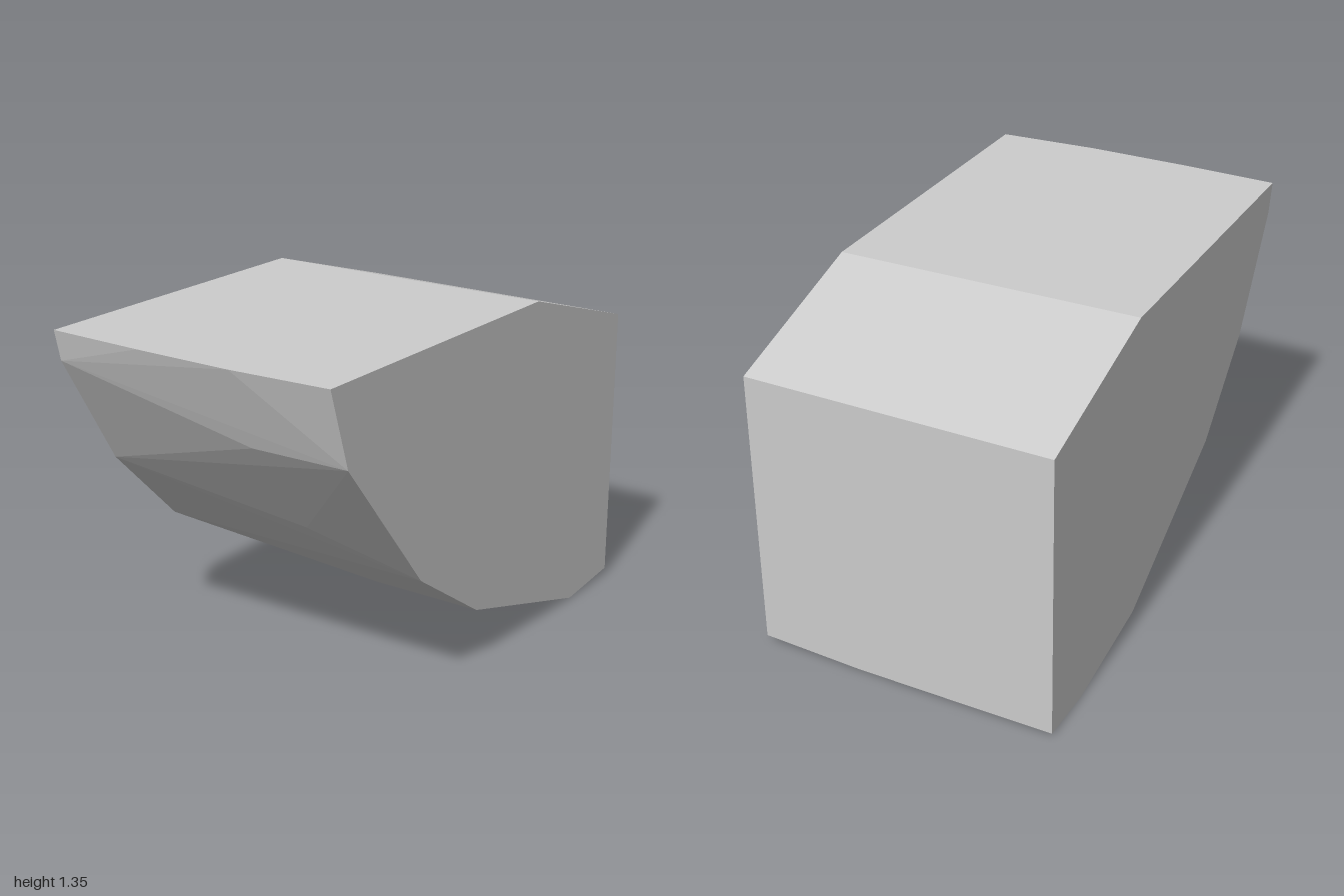
import * as THREE from 'three';
import { ConvexGeometry } from 'three/addons/geometries/ConvexGeometry.js';

// Cross-sections along z; each lists the [x, y] corners of the faceted hull.
const sections = [
  { z: 0.6, points: [[-0.975, 1.35], [-0.88, 1.045], [-0.435, 0.49], [-0.05, 0.23], [0.695, 0.003], [1, 0.03], [1, 1.153], [0.34, 1.35]] },
  { z: 0.2, points: [[-1, 1.35], [-0.88, 1.04], [-0.58, 0.65], [-0.13, 0.272], [0.72, 0], [1, 0.013]] },
  { z: -0.2, points: [[-1, 1.35], [0.74, 0.001], [1, 0.012]] },
  { z: -0.6, points: [[-0.99, 1.35], [-0.963, 1.23], [-0.71, 0.79], [-0.39, 0.463], [0.305, 0.08], [0.765, 0.002], [1, 0.012], [1, 1.15], [0.325, 1.35]] },
];

export function createModel() {
  const group = new THREE.Group();
  group.name = 'facetedBlock';

  const grey = new THREE.MeshStandardMaterial({ color: 0xcccccc });
  grey.name = 'light grey';

  // Solid body: flat top, sloped right shoulder and a curved, faceted underside
  const corners = sections.flatMap(({ z, points }) => points.map(([x, y]) => new THREE.Vector3(x, y, z)));
  const body = new THREE.Mesh(new ConvexGeometry(corners), grey);
  body.name = 'body';
  group.add(body);

  return group;
}
